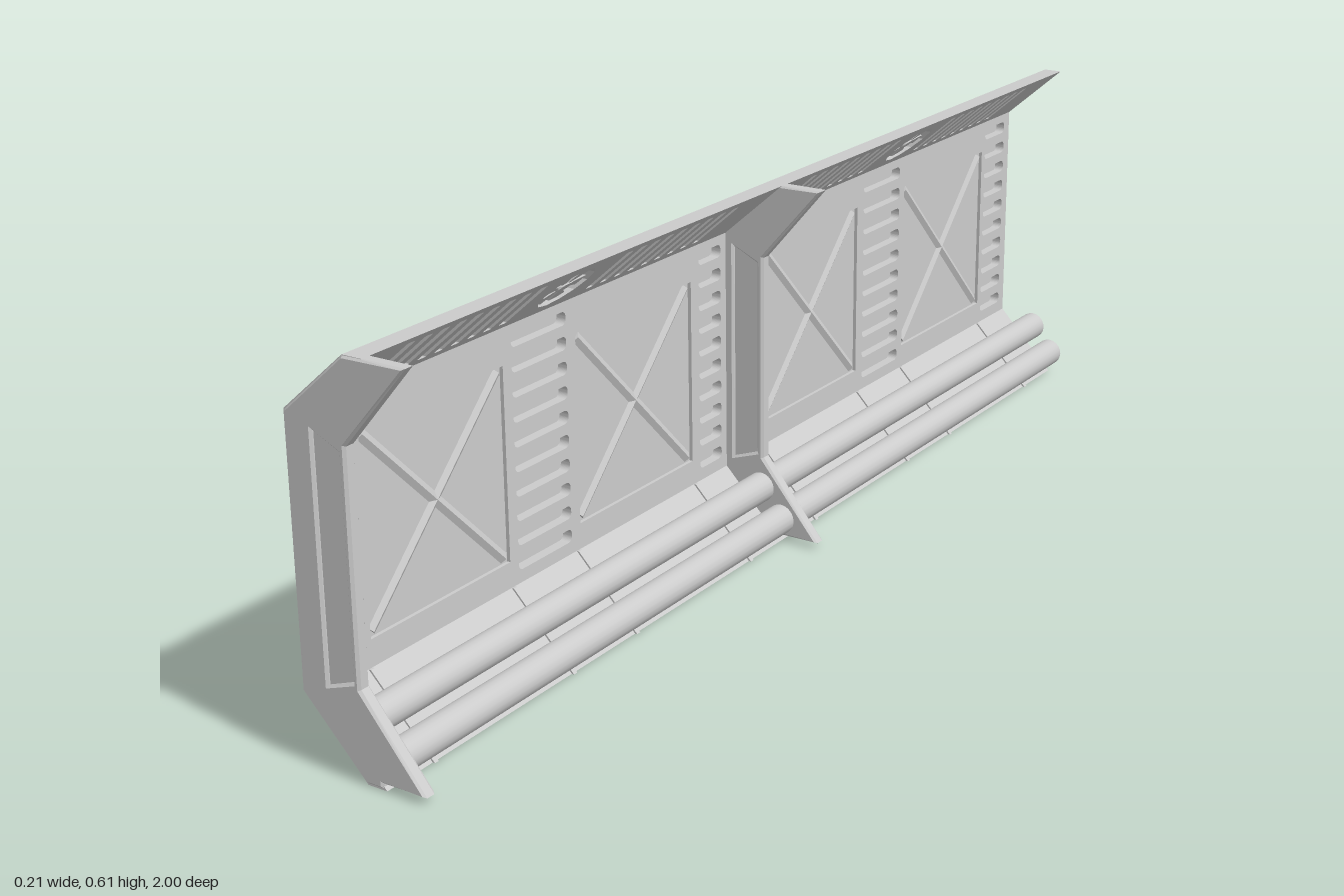
import * as THREE from 'three';

const grey = new THREE.MeshStandardMaterial({ color: 0xcccccc, flatShading: true });
const smooth = new THREE.MeshStandardMaterial({ color: 0xcccccc });

// Outer section of the wall (x, y), from foot to top
const OUTER = [[0, 0], [-0.107, 0.112], [-0.107, 0.517], [0, 0.61]];
const WALL = 0.033, SKIN = 0.017; // wall thickness along x, and its inner skin
const Z0 = -1, Z1 = 0.997;

const polygon = pts => new THREE.Shape(pts.map(p => new THREE.Vector2(...p)));
const rect = (u, v, w, h) => polygon([[u - w / 2, v - h / 2], [u + w / 2, v - h / 2], [u + w / 2, v + h / 2], [u - w / 2, v + h / 2]]);

function roundedSlot(u, v, w, h, r) {
  const s = new THREE.Shape(), x = w / 2 - r, y = h / 2 - r;
  s.absarc(u + x, v + y, r, 0, Math.PI / 2);
  s.absarc(u - x, v + y, r, Math.PI / 2, Math.PI);
  s.absarc(u - x, v - y, r, Math.PI, Math.PI * 1.5);
  s.absarc(u + x, v - y, r, Math.PI * 1.5, Math.PI * 2);
  s.closePath();
  return s;
}

function disc(u, v, r) {
  const s = new THREE.Shape();
  s.absarc(u, v, r, 0, Math.PI * 2);
  return s;
}

function extrude(shape, depth, z = 0, extra = {}) {
  return new THREE.ExtrudeGeometry(shape, { depth, bevelEnabled: false, curveSegments: 6, ...extra }).translate(0, 0, z);
}

function add(parent, name, geometry, material = grey) {
  const mesh = new THREE.Mesh(geometry, material);
  mesh.name = name;
  parent.add(mesh);
  return mesh;
}

// Matrix from a wall facet (u = -z, v = up the facet, w = depth along x) to the model
function facet(i) {
  const [ax, ay] = OUTER[i], [bx, by] = OUTER[i + 1];
  const length = Math.hypot(bx - ax, by - ay);
  const matrix = new THREE.Matrix4().makeBasis(
    new THREE.Vector3(0, 0, -1),
    new THREE.Vector3((bx - ax) / length, (by - ay) / length, 0),
    new THREE.Vector3(1, 0, 0));
  matrix.setPosition(ax + WALL - SKIN, ay, 0);
  return { length, matrix };
}
const sheet = length => polygon([[-Z1, 0], [-Z0, 0], [-Z0, length], [-Z1, length]]);

function buildWall(group) {
  const back = OUTER.map(([x, y]) => [x + WALL - SKIN, y]).reverse();
  add(group, 'outerWall', extrude(polygon([...OUTER, ...back].reverse()), Z1 - Z0, Z0));

  // Lower sloping skirt with raised seam strips
  const low = facet(0);
  add(group, 'lowerSkirt', extrude(sheet(low.length), SKIN).applyMatrix4(low.matrix));
  for (const z of [0.9, 0.585, 0.425, 0.105, -0.1, -0.42, -0.58, -0.89])
    add(group, 'skirtSeam', extrude(rect(-z, low.length / 2, 0.008, low.length), 0.004, SKIN).applyMatrix4(low.matrix));

  // Upright face: columns of slots and four square panels
  const mid = facet(1), face = sheet(mid.length), base = OUTER[1][1];
  const columns = [[0.938, 0.064], [0.505, 0.13], [0.058, 0.064], [-0.052, 0.064], [-0.5, 0.13], [-0.94, 0.08]];
  for (const [z, w] of columns)
    for (let k = 0; k < 10; k++)
      face.holes.push(roundedSlot(-z, 0.143 + k * 0.0387 - base, w, 0.021, 0.009));
  const size = 0.306, v = 0.307 - base;
  for (const z of [0.743, 0.265, -0.26, -0.735]) {
    face.holes.push(rect(-z, v, size, size));
    add(group, 'squarePanel', extrude(rect(-z, v, size, size), 0.011).applyMatrix4(mid.matrix));
    // Crossed diagonal ridges
    for (const side of [-1, 1]) {
      const bar = new THREE.CylinderGeometry(0.009, 0.009, size * 1.34, 4);
      bar.scale(1, 1, 0.6).rotateZ(side * Math.PI / 4).translate(-z, v, 0.011);
      add(group, 'panelCrossBar', bar.applyMatrix4(mid.matrix));
    }
  }
  add(group, 'innerFace', extrude(face, SKIN).applyMatrix4(mid.matrix));

  // Upper slope: groups of vents and two round fans
  const top = facet(2), roof = sheet(top.length), cv = top.length / 2;
  for (const z of [0.745, 0.26, -0.255, -0.735])
    for (let k = -4; k <= 4; k++)
      roof.holes.push(roundedSlot(-z + k * 0.035, cv, 0.017, 0.105, 0.003));
  for (const z of [0.505, -0.5]) {
    roof.holes.push(disc(-z, cv, 0.05));
    add(group, 'fanHub', extrude(disc(-z, cv, 0.012), 0.014).applyMatrix4(top.matrix));
    for (let k = 0; k < 6; k++) {
      const at = (r, a) => [-z + r * Math.cos(a + k * Math.PI / 3), cv + r * Math.sin(a + k * Math.PI / 3)];
      const blade = polygon([at(0.008, -0.3), at(0.045, -0.3), at(0.046, 0), at(0.045, 0.3), at(0.008, 0.3)]);
      add(group, 'fanBlade', extrude(blade, 0.01).applyMatrix4(top.matrix));
    }
  }
  add(group, 'upperSlope', extrude(roof, SKIN).applyMatrix4(top.matrix));
}

// Upright frame with a recessed panel on both faces
function buildFrame(zCentre) {
  const frame = new THREE.Group();
  frame.name = 'frame';
  const outline = polygon([[0.028, 0.01], [0.102, 0.01], [-0.003, 0.14], [-0.003, 0.485], [0.104, 0.61],
    [0, 0.61], [-0.106, 0.517], [-0.106, 0.112], [0, 0.002], [0.028, 0.002]]);
  const recess = [[-0.06, 0.132], [-0.015, 0.148], [-0.015, 0.475], [-0.06, 0.497]];
  outline.holes.push(polygon(recess));
  const bevel = { bevelEnabled: true, bevelSize: 0.004, bevelThickness: 0.004, bevelOffset: -0.004, bevelSegments: 1 };
  add(frame, 'frameBody', extrude(outline, 0.014, -0.007, bevel));
  add(frame, 'framePanel', extrude(polygon([[-0.066, 0.126], [-0.009, 0.142], [-0.009, 0.48], [-0.066, 0.504]]), 0.01, -0.005));
  frame.position.z = zCentre;
  return frame;
}

export function createModel() {
  const group = new THREE.Group();
  group.name = 'wallSection';
  buildWall(group);
  group.add(buildFrame(0.989), buildFrame(0));

  // Two pipes running along the foot of the wall
  for (const [x, y] of [[-0.006, 0.089], [0.033, 0.04]]) {
    const pipe = add(group, 'pipe', new THREE.CylinderGeometry(0.025, 0.025, 1.985, 20), smooth);
    pipe.rotation.x = Math.PI / 2;
    pipe.position.set(x, y, -0.0075);
  }
  return group;
}
